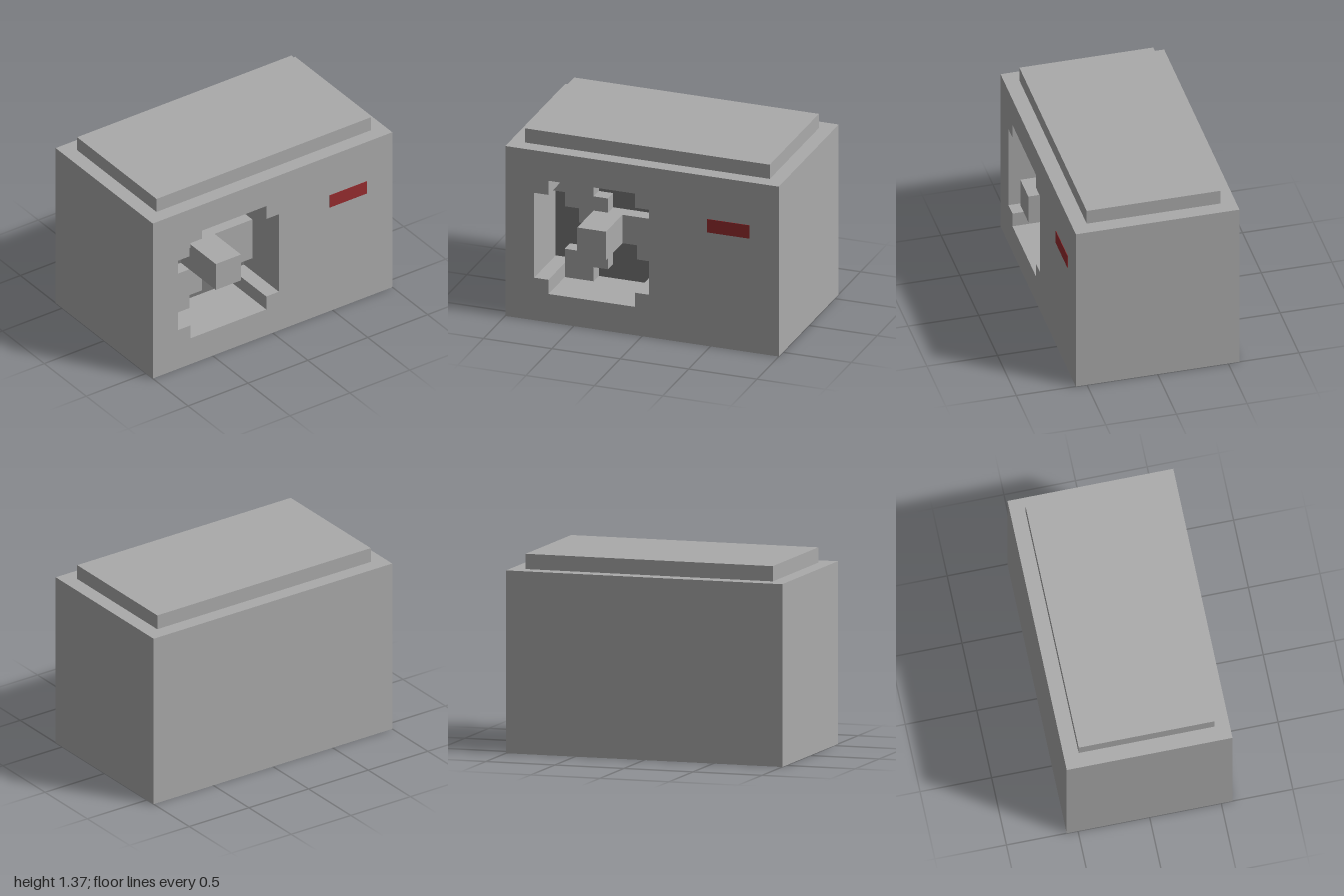
import * as THREE from 'three';

const U = 2 / 19; // one block of the modelling grid
const FRONT = 5.5; // front face, in blocks
const RECESS = 4; // depth of the fan opening, in blocks

// Outline given in blocks, counted from the lower left corner of the front
const points = (list) => list.map(([x, y]) => new THREE.Vector2((x - 9.5) * U, y * U));

export function createModel() {
  const casing = new THREE.MeshStandardMaterial({ color: 0xaaaaaa });
  casing.name = 'casing grey';
  const shade = new THREE.MeshStandardMaterial({ color: 0x787878 });
  shade.name = 'dark grey';
  const red = new THREE.MeshStandardMaterial({ color: 0x962c2f });
  red.name = 'label red';

  const model = new THREE.Group();
  model.name = 'fanUnit';

  const add = (name, geometry, material) => {
    const mesh = new THREE.Mesh(geometry, material);
    mesh.name = name;
    model.add(mesh);
  };
  // Box between two corners in blocks
  const box = (name, material, [x0, y0, z0], [x1, y1, z1]) => {
    const g = new THREE.BoxGeometry((x1 - x0) * U, (y1 - y0) * U, (z1 - z0) * U);
    g.translate(((x0 + x1) / 2 - 9.5) * U, ((y0 + y1) / 2) * U, ((z0 + z1) / 2) * U);
    add(name, g, material);
  };
  // Outline extruded between two z positions in blocks
  const slab = (name, material, shape, z0, z1) => {
    const g = new THREE.ExtrudeGeometry(shape, { depth: (z1 - z0) * U, bevelEnabled: false });
    g.translate(0, 0, z0 * U);
    add(name, g, material);
  };

  const floor = FRONT - RECESS;
  const opening = points([
    [3, 2], [9, 2], [9, 3], [10, 3], [10, 9], [9, 9],
    [9, 10], [3, 10], [3, 9], [2, 9], [2, 3], [3, 3],
  ]);

  // Casing: solid rear, front with the fan opening, raised lid
  box('rearCasing', casing, [0, 0, -FRONT], [19, 12, floor]);
  const frontShape = new THREE.Shape(points([[0, 0], [19, 0], [19, 12], [0, 12]]));
  frontShape.holes.push(new THREE.Path(opening));
  slab('frontCasing', casing, frontShape, floor, FRONT);
  box('lid', casing, [1, 12, -4.5], [18, 13, 4.5]);

  // Dark back of the opening
  slab('openingBack', shade, new THREE.Shape(opening), floor, floor + 0.04);

  // Three fan blades around a square hub
  const blades = {
    upperBlade: [
      [3, 10], [3, 9], [2, 9], [2, 8], [3, 8], [3, 7], [4, 7],
      [4, 6], [5, 6], [5, 7], [6, 7], [6, 8], [5, 8], [5, 10],
    ],
    lowerBlade: [[3, 2], [5, 2], [5, 3], [6, 3], [6, 5], [4, 5], [4, 4], [3, 4]],
    sideBlade: [[8, 4], [10, 4], [10, 7], [7, 7], [7, 5], [8, 5]],
  };
  for (const [name, outline] of Object.entries(blades)) {
    slab(name, casing, new THREE.Shape(points(outline)), floor, floor + 1);
  }
  box('hub', casing, [5, 5, floor], [7, 7, FRONT]);

  // Thin red label
  box('label', red, [14.03, 8.03, FRONT - 0.03], [16.97, 8.97, FRONT + 0.03]);

  return model;
}
